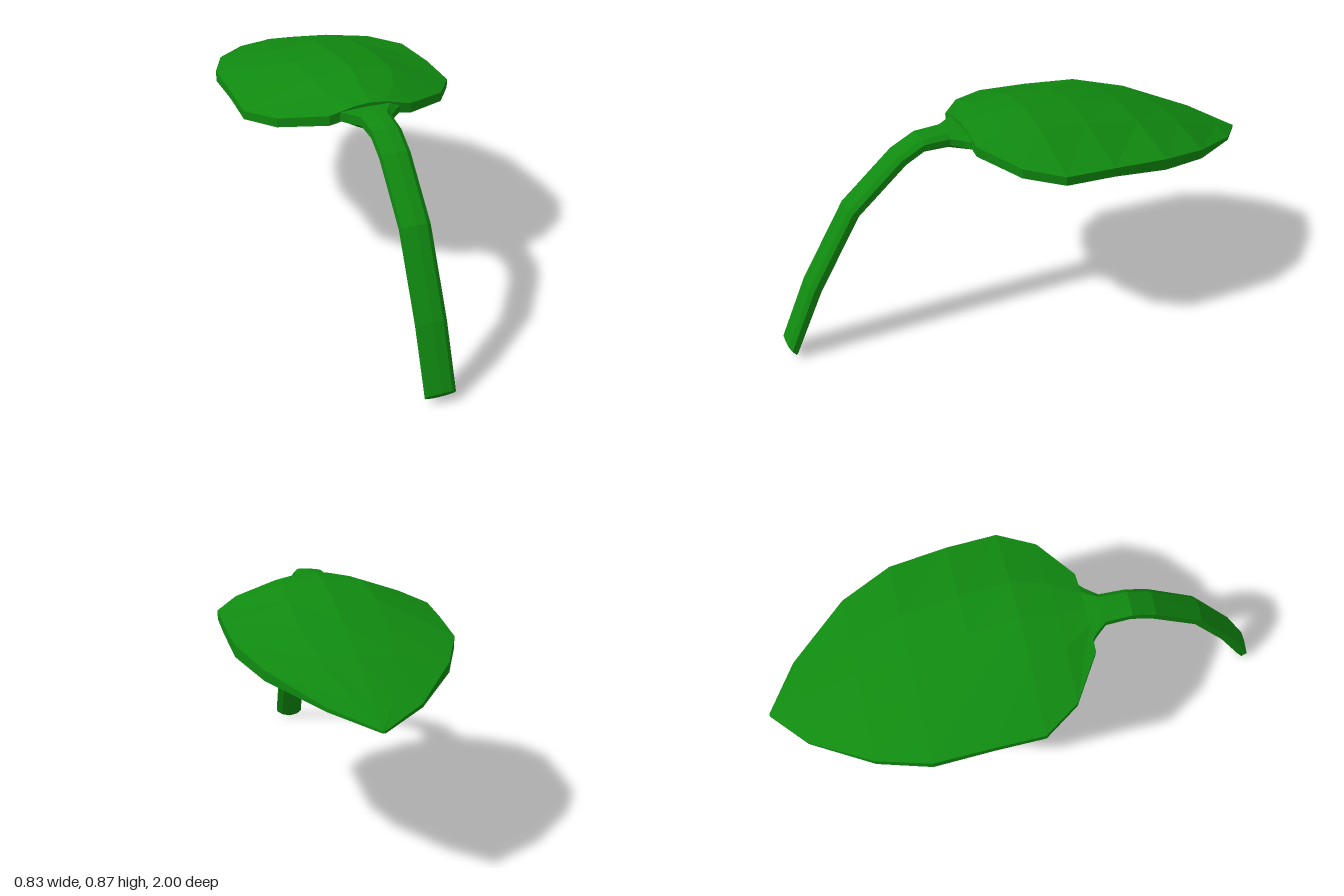
import * as THREE from 'three';

// Skin a list of closed rings (each clockwise seen from +z, running toward -z) and cap both ends
function loft(rings) {
  const n = rings[0].length;
  const verts = rings.flat();
  const index = [];
  for (let i = 0; i < rings.length - 1; i++) {
    for (let j = 0; j < n; j++) {
      const k = (j + 1) % n;
      const a = i * n + j, b = i * n + k, c = a + n, d = b + n;
      index.push(a, b, c, b, d, c);
    }
  }
  const cap = (ring, start, flip) => {
    const mid = ring.reduce((s, p) => s.add(p), new THREE.Vector3()).divideScalar(n);
    const m = verts.push(mid) - 1;
    for (let j = 0; j < n; j++) {
      const a = start + j, b = start + (j + 1) % n;
      if (flip) index.push(m, b, a); else index.push(m, a, b);
    }
  };
  cap(rings[0], 0, true);
  cap(rings[rings.length - 1], (rings.length - 1) * n, false);
  const indexed = new THREE.BufferGeometry().setFromPoints(verts);
  indexed.setIndex(index);
  const geo = indexed.toNonIndexed();
  geo.computeVertexNormals();
  return geo;
}

// Domed blade: rows of [z, left x, right x, centre x, crown y, rim y, thickness]
function leafGeometry() {
  const rows = [
    [0.25, -0.16, 0.16, 0, 0.85, 0.82, 0.04],
    [0.14, -0.33, 0.33, 0, 0.867, 0.785, 0.037],
    [0, -0.42, 0.415, 0.01, 0.88, 0.763, 0.035],
    [-0.2, -0.42, 0.41, 0, 0.856, 0.755, 0.035],
    [-0.43, -0.42, 0.39, 0, 0.805, 0.735, 0.045],
    [-0.635, -0.35, 0.31, -0.01, 0.738, 0.695, 0.038],
    [-0.87, -0.2, 0.13, -0.03, 0.634, 0.622, 0.014],
    [-1, -0.044, -0.036, -0.04, 0.576, 0.574, 0.008],
  ];
  const columns = [[-1, 0], [-0.4, 0.8], [0, 1], [0.4, 0.8], [1, 0]];
  return loft(rows.map(([z, left, right, mid, crown, rim, thick]) => {
    const at = ([t, h], under) => {
      const x = mid + (t < 0 ? (mid - left) : (right - mid)) * t;
      const rise = (crown - rim) * h * (under ? 0.8 : 1);
      return new THREE.Vector3(x, rim + rise - (under ? thick : 0), z);
    };
    return [
      ...columns.map((c) => at(c, false)),
      ...[...columns].reverse().map((c) => at(c, true)),
    ];
  }));
}

// Bent stalk: stations of [z, y, tilt of section in degrees, width scale, depth scale]
function stemGeometry() {
  const section = [
    [-0.055, 0.024], [0, 0.031], [0.04, 0.03], [0.058, 0.015], [0.058, -0.008],
    [0.035, -0.024], [0, -0.032], [-0.035, -0.024], [-0.055, -0.008],
  ];
  const stations = [
    [0.978, 0.033, 51, 1, 1],
    [0.87, 0.28, 28, 1, 1],
    [0.7, 0.575, 40, 1, 1],
    [0.5, 0.755, 52, 1, 1],
    [0.415, 0.8, 80, 1, 1],
    [0.315, 0.803, 90, 1.05, 1.1],
    [0.27, 0.8, 92, 1.7, 1.2],
    [0.235, 0.802, 95, 2.4, 1.1],
    [0.15, 0.81, 95, 2.3, 0.8],
  ];
  return loft(stations.map(([z, y, deg, w, d], i) => {
    const a = THREE.MathUtils.degToRad(deg);
    const lean = 0.005 * (1 - i / 4);
    return section.map(([u, v]) => new THREE.Vector3(
      u * w + lean, y + v * d * Math.sin(a), z + v * d * Math.cos(a)));
  }));
}

export function createModel() {
  const model = new THREE.Group();
  model.name = 'leafWithStem';
  const green = new THREE.MeshStandardMaterial({ color: 0x108a10, flatShading: true });
  green.name = 'leaf green';

  const leaf = new THREE.Mesh(leafGeometry(), green);
  leaf.name = 'leafBlade';
  const stem = new THREE.Mesh(stemGeometry(), green);
  stem.name = 'stem';
  model.add(leaf, stem);
  return model;
}
